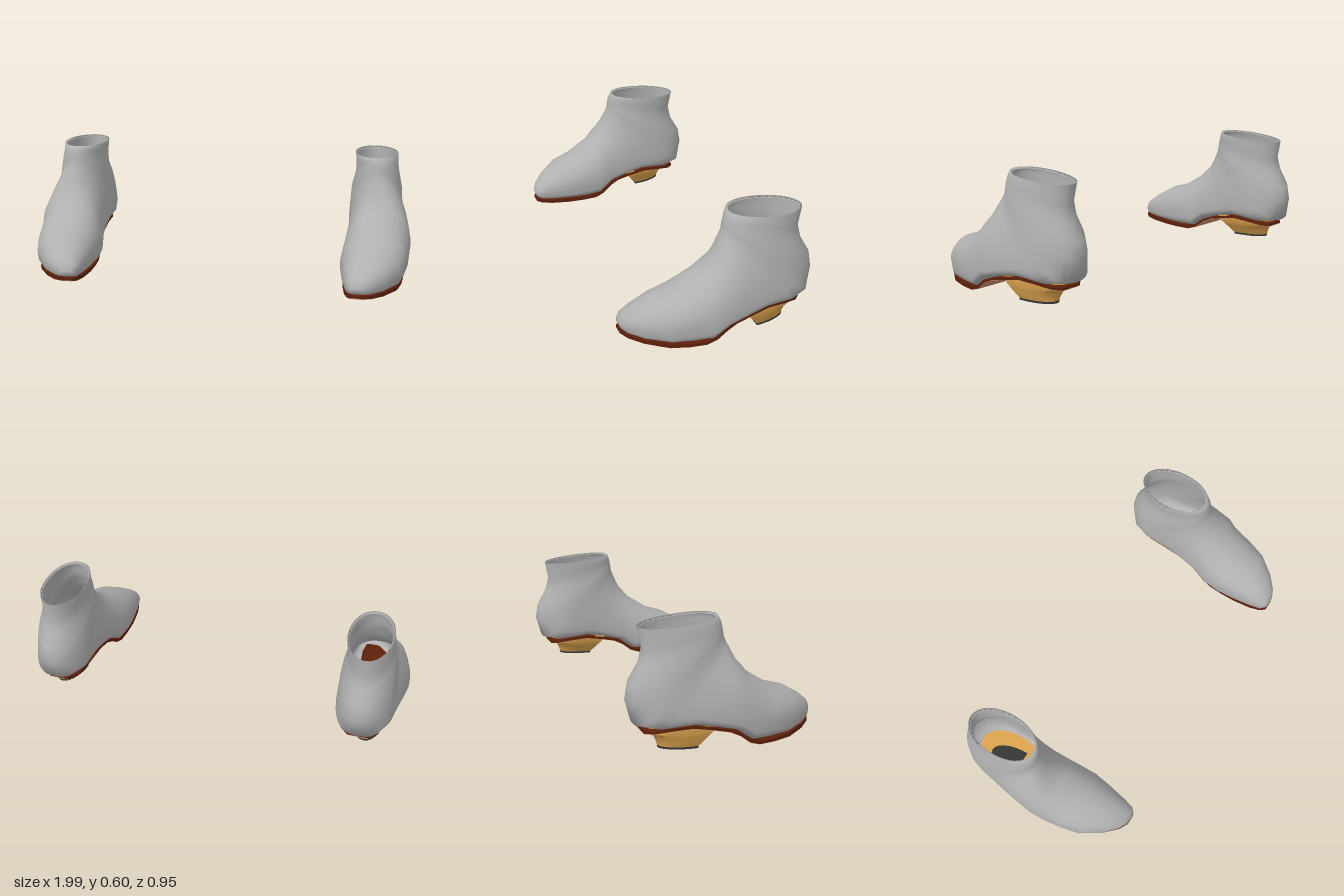
import * as THREE from 'three';
import { toCreasedNormals } from 'three/addons/utils/BufferGeometryUtils.js';

const material = (name, color, side = THREE.FrontSide) => {
  const m = new THREE.MeshStandardMaterial({ color, side });
  m.name = name;
  return m;
};

// Skins a list of closed rings; side = -1 mirrors the part across x.
function loft(rings, side, capEnd, crease) {
  const n = rings[0].length, pos = [], index = [];
  const tri = (a, b, c) => (side > 0 ? index.push(a, b, c) : index.push(a, c, b));
  rings.forEach(r => r.forEach(p => pos.push(p[0] * side, p[1], p[2])));
  for (let i = 0; i < rings.length - 1; i++) {
    for (let j = 0; j < n; j++) {
      const a = i * n + j, b = i * n + (j + 1) % n;
      tri(a, b, a + n);
      tri(b, b + n, a + n);
    }
  }
  const cap = (ring, flip) => {
    const centre = pos.length / 3;
    const c = [0, 1, 2].map(k => rings[ring].reduce((s, p) => s + p[k], 0) / n);
    pos.push(c[0] * side, c[1], c[2]);
    for (let j = 0; j < n; j++) {
      const a = ring * n + j, b = ring * n + (j + 1) % n;
      flip ? tri(centre, b, a) : tri(centre, a, b);
    }
  };
  cap(0, true);
  if (capEnd) cap(rings.length - 1, false);
  let g = new THREE.BufferGeometry();
  g.setAttribute('position', new THREE.Float32BufferAttribute(pos, 3));
  g.setIndex(index);
  if (crease) g = toCreasedNormals(g, crease);
  else g.computeVertexNormals();
  return g;
}

// Upper sections from toe to opening:
// top z, y, bottom z, y, inner x, outer x, lower squareness, height of widest point
const UPPER = [
  [0.478, 0.08, 0.468, 0.045, 0.7, 0.77, 0.8, 0.5],
  [0.46, 0.12, 0.445, 0.034, 0.678, 0.812, 0.6, 0.42],
  [0.41, 0.16, 0.385, 0.026, 0.665, 0.875, 0.5, 0.38],
  [0.32, 0.215, 0.28, 0.02, 0.65, 0.945, 0.45, 0.35],
  [0.22, 0.245, 0.18, 0.016, 0.64, 0.972, 0.45, 0.4],
  [0.1, 0.322, 0.09, 0.02, 0.648, 0.988, 0.45, 0.28],
  [0.07, 0.358, 0.01, 0.08, 0.66, 0.997, 0.45, 0.25],
  [0.04, 0.39, -0.09, 0.105, 0.668, 0.99, 0.45, 0.25],
  [0.02, 0.43, -0.2, 0.124, 0.67, 0.978, 0.45, 0.27],
  [0, 0.475, -0.35, 0.109, 0.668, 0.962, 0.55, 0.33],
  [-0.01, 0.5, -0.443, 0.124, 0.67, 0.952, 0.75, 0.4],
  [-0.013, 0.52, -0.477, 0.23, 0.675, 0.945, 1, 0.48],
  [-0.016, 0.54, -0.465, 0.31, 0.685, 0.935, 1, 0.5],
  [-0.02, 0.56, -0.415, 0.395, 0.695, 0.925, 1, 0.5],
  [-0.025, 0.575, -0.396, 0.47, 0.695, 0.918, 1, 0.5],
  [-0.035, 0.596, -0.415, 0.566, 0.69, 0.915, 1, 0.5],
  [-0.047, 0.588, -0.404, 0.558, 0.7, 0.905, 1, 0.5],
];

// Sole stations from toe to heel: z, underside y, inner x, outer x, thickness
const SOLE = [
  [0.475, 0.024, 0.705, 0.76, 0.014], [0.45, 0.018, 0.685, 0.805, 0.018],
  [0.39, 0.011, 0.67, 0.865, 0.019], [0.29, 0.005, 0.66, 0.932, 0.018],
  [0.2, 0.002, 0.66, 0.955, 0.016], [0.12, 0.002, 0.665, 0.965, 0.016],
  [0.07, 0.018, 0.672, 0.968, 0.018], [0.02, 0.057, 0.68, 0.97, 0.016],
  [-0.03, 0.081, 0.687, 0.965, 0.012], [-0.1, 0.096, 0.69, 0.957, 0.012],
  [-0.2, 0.113, 0.69, 0.942, 0.012], [-0.3, 0.106, 0.695, 0.925, 0.012],
  [-0.37, 0.094, 0.715, 0.9, 0.012], [-0.405, 0.087, 0.755, 0.86, 0.014],
];

// Heel block rings from top to bottom: y, front z, back z, inner x, outer x, back curve
const HEEL = [
  [0.115, -0.085, -0.388, 0.695, 0.94, 0.85], [0.08, -0.108, -0.383, 0.702, 0.937, 0.85],
  [0.06, -0.125, -0.35, 0.718, 0.93, 0.9], [0.03, -0.15, -0.337, 0.737, 0.918, 1.05],
  [0.014, -0.164, -0.332, 0.75, 0.91, 1.15],
];

const upperRing = ([za, ya, zb, yb, xi, xo, e, m]) => {
  const zm = zb + (za - zb) * m, ym = yb + (ya - yb) * m;
  return Array.from({ length: 32 }, (_, j) => {
    const t = j / 32 * Math.PI * 2, c = Math.cos(t), s = Math.sin(t);
    const p = c < 0 ? e : 0.95;
    const u = Math.abs(c) ** p, v = Math.sign(s) * Math.abs(s) ** p;
    const [ze, ye] = c < 0 ? [zb, yb] : [za, ya];
    return [(xi + xo) / 2 + (xo - xi) / 2 * v, ym + (ye - ym) * u, zm + (ze - zm) * u];
  });
};

const box = (xi, xo, low, high, z) => [[xi, high, z], [xo, high, z], [xo, low, z], [xi, low, z]];
const weltRing = ([z, y, xi, xo, h]) => box(xi, xo, y, y + h, z);
const outsoleRing = ([z, y, xi, xo]) => box(xi + 0.002, xo - 0.002, y - 0.002, y + 0.002, z);

// D-shaped outline with a flat front
const heelRing = ([y, zf, zb, xi, xo, k]) => Array.from({ length: 15 }, (_, j) => {
  const p = j / 14 * Math.PI;
  return [(xi + xo) / 2 - (xo - xi) / 2 * Math.cos(p), y, zf - (zf - zb) * Math.max(0, Math.sin(p)) ** k];
});

const ovalRing = y => Array.from({ length: 32 }, (_, j) => {
  const a = j / 32 * Math.PI * 2;
  return [0.803 + 0.112 * Math.cos(a), y, -0.223 + 0.188 * Math.sin(a)];
});

export function createModel() {
  const grey = material('grey leather', 0xb0b0b0, THREE.DoubleSide);
  const welt = material('dark red brown', 0x5c200b);
  const brown = material('brown sole', 0xcc8d72);
  const tan = material('tan wood', 0xdea44e);
  const black = material('black rubber', 0x363636);

  const model = new THREE.Group();
  model.name = 'ankleBoots';
  for (const side of [1, -1]) {
    const boot = new THREE.Group();
    boot.name = side > 0 ? 'leftBoot' : 'rightBoot';
    const add = (name, mat, rings, capEnd = true, crease = 0.7) => {
      const mesh = new THREE.Mesh(loft(rings, side, capEnd, crease), mat);
      mesh.name = name;
      boot.add(mesh);
    };
    add('upper', grey, UPPER.map(upperRing), false, 0);
    add('welt', welt, SOLE.map(weltRing));
    add('outsole', brown, SOLE.map(outsoleRing));
    add('heelBlock', tan, HEEL.map(heelRing));
    // rubber tip under the heel
    const tip = HEEL[HEEL.length - 1].slice(1);
    add('heelTip', black, [[0.014, ...tip], [0.004, ...tip]].map(heelRing));
    // inside of the boot, seen through the opening
    add('insole', tan, [ovalRing(0.148), ovalRing(0.142)]);
    add('insolePatch', black, [[0.152, ...tip], [0.148, ...tip]].map(heelRing));
    model.add(boot);
  }
  return model;
}
